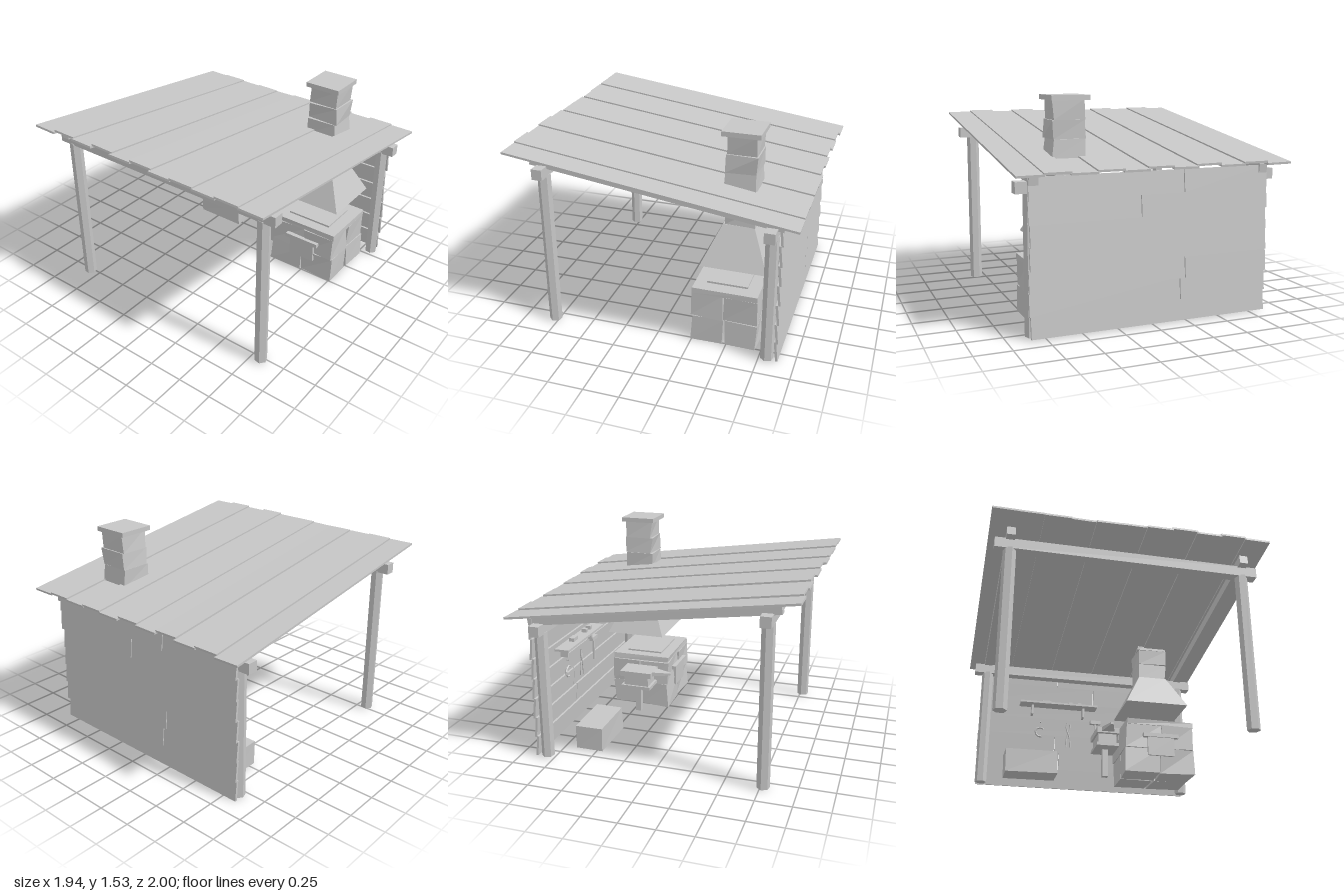
import * as THREE from 'three';

export function createModel() {
  const model = new THREE.Group();
  model.name = 'forgeShelter';
  const grey = new THREE.MeshStandardMaterial({ color: 0xc6c6c6, flatShading: true });
  grey.name = 'plain grey';

  let seed = 11;
  const rand = () => {
    seed = (seed * 16807) % 2147483647;
    return (seed / 2147483647) * 2 - 1;
  };

  const add = (name, geometry, parent = model) => {
    const mesh = new THREE.Mesh(geometry, grey);
    mesh.name = name;
    parent.add(mesh);
    return mesh;
  };
  const group = (name) => {
    const g = new THREE.Group();
    g.name = name;
    model.add(g);
    return g;
  };

  // Box given by its limits; wobble shifts each corner, keeping faces joined
  const block = (name, [x0, x1], [y0, y1], [z0, z1], parent = model, wobble = 0) => {
    const geo = new THREE.BoxGeometry(x1 - x0, y1 - y0, z1 - z0);
    if (wobble) {
      const shifts = Array.from({ length: 8 }, () => [rand(), rand() * 0.4, rand()]);
      const p = geo.attributes.position;
      for (let i = 0; i < p.count; i++) {
        const s = shifts[(p.getX(i) > 0 ? 1 : 0) + (p.getY(i) > 0 ? 2 : 0) + (p.getZ(i) > 0 ? 4 : 0)];
        p.setXYZ(i, p.getX(i) + s[0] * wobble, p.getY(i) + s[1] * wobble, p.getZ(i) + s[2] * wobble);
      }
      geo.computeVertexNormals();
    }
    const mesh = add(name, geo, parent);
    mesh.position.set((x0 + x1) / 2, (y0 + y1) / 2, (z0 + z1) / 2);
    return mesh;
  };

  // Box whose +z end is squeezed to a smaller size
  const taper = (geo, axis, sx, other, so) => {
    const p = geo.attributes.position;
    for (let i = 0; i < p.count; i++) {
      if (p.getComponent(i, axis) > 0) {
        p.setX(i, p.getX(i) * sx);
        p.setComponent(i, other, p.getComponent(i, other) * so);
      }
    }
    geo.computeVertexNormals();
    return geo;
  };

  // Posts, cross beams and sloping rafters
  const frame = group('timberFrame');
  const slope = 0.137;
  for (const [label, z, top] of [['front', 0.772, 1.17], ['back', -0.807, 0.95]]) {
    for (const x of [-0.825, 0.825]) {
      const post = add(label + 'Post', new THREE.CylinderGeometry(0.0455, 0.0455, top - 0.012, 6), frame);
      post.position.set(x, (top + 0.012) / 2, z);
      post.rotation.y = 0.35;
    }
    block(label + 'Beam', [-0.93, 0.93], [top - 0.008, top + 0.067], [z - 0.037, z + 0.037], frame);
  }
  for (const x of [-0.825, 0.822]) {
    const rafter = add('rafter', new THREE.BoxGeometry(0.06, 0.065, 1.76), frame);
    rafter.position.set(x, 1.147, -0.015);
    rafter.rotation.x = -slope;
  }

  // Roof planks running front to back, alternately raised
  const roof = group('roof');
  const ends = [[-1, 0.99], [-0.985, 0.975], [-0.99, 0.985], [-0.975, 0.965], [-0.99, 0.985], [-0.982, 0.975]];
  for (let i = 0; i < 11; i++) {
    const [back, front] = ends[i] || [-0.999, 0.997];
    const mid = (back + front) / 2;
    const plank = add('roofPlank', new THREE.BoxGeometry(0.182, 0.015, (front - back) / Math.cos(slope)), roof);
    plank.position.set(-0.879 + i * 0.1755, 1.212 + mid * Math.tan(slope) + (i % 2 ? 0.006 : -0.005), mid);
    plank.rotation.x = -slope;
    plank.rotation.z = 0.015 * rand();
  }

  // Back wall of lapped boards, some rows made from two pieces
  const wall = group('backWall');
  const splits = [null, -0.2, -0.235, null, null, 0.09, -0.22];
  splits.forEach((split, row) => {
    const left = -0.865 + rand() * 0.008;
    const right = 0.855 + rand() * 0.008;
    const pieces = split === null ? [[left, right]] : [[left, split - 0.003], [split + 0.003, right]];
    for (const span of pieces) {
      const y = 0.012 + row * 0.147;
      const board = block('wallBoard', span, [y, y + 0.153], [-0.878, -0.862], wall);
      board.rotation.x = 0.1;
      board.rotation.z = rand() * 0.002;
    }
  });

  // Stone hearth in two courses, with a slab and fire bed
  const hearth = group('hearth');
  for (const [y0, y1, cut] of [[0.01, 0.2, 0.5], [0.203, 0.39, 0.515]]) {
    for (const x of [[0.225, cut - 0.004], [cut + 0.004, 0.765]]) {
      for (const z of [[-0.715, -0.485], [-0.477, -0.25]]) block('hearthStone', x, [y0, y1], z, hearth, 0.012);
    }
  }
  block('hearthSlab', [0.235, 0.765], [0.39, 0.432], [-0.715, -0.25], hearth, 0.004);
  block('fireBed', [0.32, 0.675], [0.43, 0.445], [-0.625, -0.335], hearth);
  block('hearthLedge', [0.36, 0.64], [0.285, 0.315], [-0.26, -0.222], hearth);
  block('fireDoor', [0.395, 0.605], [0.14, 0.286], [-0.26, -0.232], hearth);

  // Smoke hood, stacked stone chimney and cap
  const flue = group('chimney');
  const hood = add('smokeHood', taper(new THREE.BoxGeometry(0.5, 0.27, 0.465), 1, 0.45, 2, 0.47), flue);
  hood.position.set(0.5, 0.735, -0.533);
  for (let i = 0; i < 5; i++) {
    const y = 0.865 + i * 0.128;
    block('chimneyStone', [0.39, 0.612], [y, y + 0.129], [-0.645, -0.43], flue, 0.012);
  }
  block('chimneyCap', [0.365, 0.63], [1.502, 1.535], [-0.667, -0.405], flue);

  // Anvil on a slim stand
  const anvil = group('anvil');
  block('stand', [0.08, 0.125], [0.01, 0.225], [-0.475, -0.43], anvil);
  block('anvilFoot', [0.015, 0.19], [0.225, 0.25], [-0.57, -0.33], anvil);
  block('anvilBody', [0.03, 0.175], [0.25, 0.326], [-0.55, -0.35], anvil);
  block('anvilFace', [0.015, 0.19], [0.325, 0.368], [-0.58, -0.32], anvil);
  const horn = add('anvilHorn', taper(new THREE.BoxGeometry(0.1, 0.032, 0.14), 2, 0.2, 1, 0.5), anvil);
  horn.position.set(0.102, 0.352, -0.25);

  // Storage box on the ground
  block('storageBox', [-0.67, -0.27], [0.012, 0.19], [-0.66, -0.455], model, 0.006);

  // Wall shelf with brackets and small pots
  const shelf = group('wallShelf');
  block('shelfBoard', [-0.54, 0.105], [0.7, 0.716], [-0.862, -0.748], shelf);
  for (const x of [-0.435, -0.005]) block('shelfBracket', [x - 0.008, x + 0.008], [0.622, 0.7], [-0.862, -0.8], shelf);
  for (const [x, w] of [[-0.318, 0.037], [-0.115, 0.015], [-0.038, 0.014]]) {
    block('shelfItem', [x - w, x + w], [0.716, 0.743], [-0.83, -0.79], shelf);
  }

  // Hanging tools: hammer, tongs, horseshoe and nail
  const tools = group('wallTools');
  block('hammerHead', [0.06, 0.148], [0.578, 0.608], [-0.855, -0.822], tools);
  block('hammerHandle', [0.097, 0.112], [0.408, 0.58], [-0.847, -0.832], tools);
  for (const side of [-1, 1]) {
    const bend = [[-0.012, 0.57], [-0.018, 0.535], [0.012, 0.44], [0.017, 0.36]].map(
      ([x, y]) => new THREE.Vector3(-0.126 + side * x, y, -0.843 + side * 0.004));
    add('tongsArm', new THREE.TubeGeometry(new THREE.CatmullRomCurve3(bend), 6, 0.006, 5), tools);
  }
  const shoe = add('horseshoe', new THREE.TorusGeometry(0.04, 0.008, 4, 6, Math.PI * 1.3), tools);
  shoe.position.set(-0.36, 0.477, -0.845);
  shoe.rotation.z = 0.9;
  block('nail', [-0.364, -0.356], [0.562, 0.572], [-0.86, -0.835], tools);

  return model;
}
